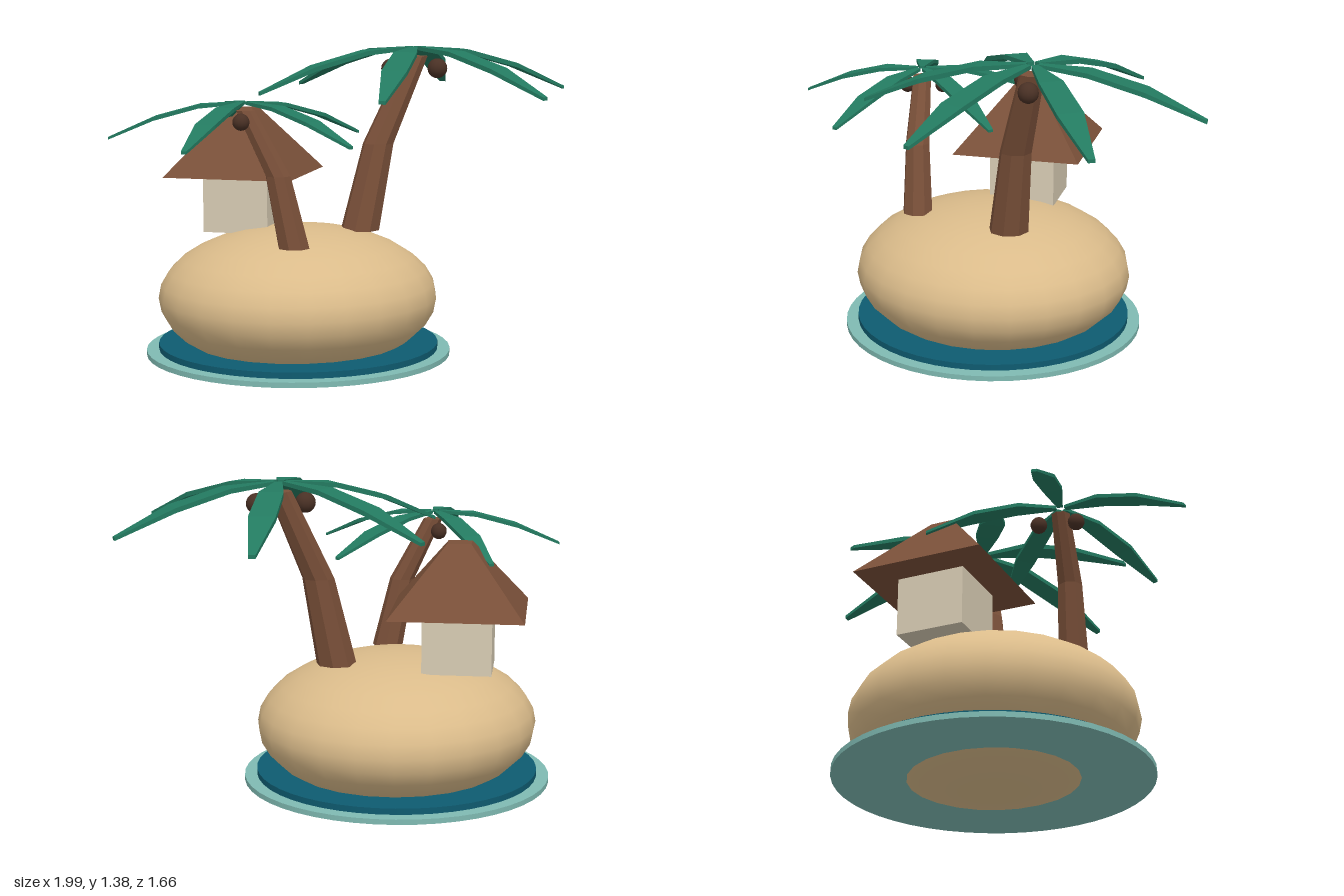
import * as THREE from 'three';

const mat = (name, color) => {
  const m = new THREE.MeshStandardMaterial({ color });
  m.name = name;
  return m;
};

// Faceted solid through a list of rings, each running counterclockwise around the path
function loft(rings) {
  const pos = [];
  const n = rings[0].length;
  const tri = (...pts) => pts.forEach((p) => pos.push(...p));
  for (let i = 0; i < rings.length - 1; i++) {
    for (let j = 0; j < n; j++) {
      const k = (j + 1) % n;
      const a = rings[i][j], b = rings[i][k], c = rings[i + 1][k], d = rings[i + 1][j];
      tri(a, b, c);
      tri(a, c, d);
    }
  }
  const first = rings[0], last = rings[rings.length - 1];
  for (let j = 1; j < n - 1; j++) {
    tri(first[0], first[j + 1], first[j]);
    tri(last[0], last[j], last[j + 1]);
  }
  const g = new THREE.BufferGeometry();
  g.setAttribute('position', new THREE.Float32BufferAttribute(pos, 3));
  g.computeVertexNormals();
  return g;
}

// Stations are [x, y, z, radius]
function trunkGeometry(stations, sides = 8) {
  return loft(stations.map(([x, y, z, r]) =>
    Array.from({ length: sides }, (_, i) => {
      const t = ((i + 0.5) / sides) * Math.PI * 2;
      return [x + r * Math.sin(t), y, z + r * Math.cos(t)];
    })));
}

// Drooping leaf along +x; stations are [distance, top height, half width, thickness]
function leafGeometry() {
  const stations = [
    [0.025, 0, 0.014, 0.016],
    [0.23, -0.015, 0.05, 0.02],
    [0.46, -0.078, 0.054, 0.02],
    [0.7, -0.185, 0.014, 0.014],
  ];
  return loft(stations.map(([x, y, w, t]) =>
    [[x, y, w], [x, y - t, w], [x, y - t, -w], [x, y, -w]]));
}

export function createModel() {
  const model = new THREE.Group();
  model.name = 'island';

  const sand = mat('sand', 0xdabb8a);
  const water = mat('deepWater', 0x0e5b70);
  const foam = mat('shallowWater', 0x7fbab2);
  const brown = mat('brownWood', 0x7a5039);
  const nut = mat('coconutBrown', 0x4a3125);
  const green = mat('leafGreen', 0x237a60);
  const wall = mat('wallCream', 0xd8ccb4);

  const add = (parent, name, geometry, material, x = 0, y = 0, z = 0) => {
    const m = new THREE.Mesh(geometry, material);
    m.name = name;
    m.position.set(x, y, z);
    parent.add(m);
    return m;
  };

  // Sand mound and the two water discs
  const cx = -0.08, cz = -0.172;
  add(model, 'sandMound', new THREE.SphereGeometry(1, 24, 16), sand, cx, 0.308, cz)
    .scale.set(0.613, 0.308, 0.595);
  add(model, 'deepWaterDisc', new THREE.CylinderGeometry(0.605, 0.605, 0.026, 48), water, cx, 0.097, cz);
  add(model, 'shallowWaterDisc', new THREE.CylinderGeometry(0.658, 0.658, 0.022, 48), foam, cx, 0.071, cz);

  // Hut
  const hut = new THREE.Group();
  hut.name = 'hut';
  hut.position.set(-0.103, 0, -0.458);
  hut.rotation.y = THREE.MathUtils.degToRad(69.5);
  model.add(hut);
  add(hut, 'hutWalls', new THREE.BoxGeometry(0.29, 0.25, 0.29), wall, 0, 0.7, 0).rotation.y = Math.PI / 4;
  const roof = new THREE.CylinderGeometry(0.07, 0.397, 0.285, 4).toNonIndexed();
  roof.computeVertexNormals();
  add(hut, 'hutRoof', roof, brown, 0, 0.9675, 0);

  // Palm trees
  const leaf = leafGeometry();
  const palms = [
    {
      name: 'tallPalm', crown: [0.36, 1.377, 0.127], scale: 1, leaves: 6, turn: -25.5, nutSize: 0.043,
      trunk: [[0.14, 0.585, -0.005, 0.086], [0.21, 0.96, 0.04, 0.068], [0.36, 1.335, 0.13, 0.052]],
      nuts: [[0.27, 1.282, 0.063], [0.405, 1.282, 0.213]],
    },
    {
      name: 'shortPalm', crown: [-0.46, 1.175, -0.138], scale: 0.8, leaves: 5, turn: 18, nutSize: 0.035,
      trunk: [[-0.345, 0.57, 0.03, 0.067], [-0.385, 0.87, -0.02, 0.054], [-0.455, 1.138, -0.135, 0.041]],
      nuts: [[-0.515, 1.095, -0.105], [-0.39, 1.095, -0.2]],
    },
  ];
  for (const p of palms) {
    const palm = new THREE.Group();
    palm.name = p.name;
    model.add(palm);
    add(palm, 'trunk', trunkGeometry(p.trunk), brown);
    for (const c of p.nuts) {
      add(palm, 'coconut', new THREE.SphereGeometry(p.nutSize, 14, 10), nut, ...c);
    }
    for (let i = 0; i < p.leaves; i++) {
      const l = add(palm, 'leaf', leaf, green, ...p.crown);
      l.scale.setScalar(p.scale);
      l.rotation.y = -THREE.MathUtils.degToRad(p.turn + (i * 360) / p.leaves);
    }
  }
  return model;
}
